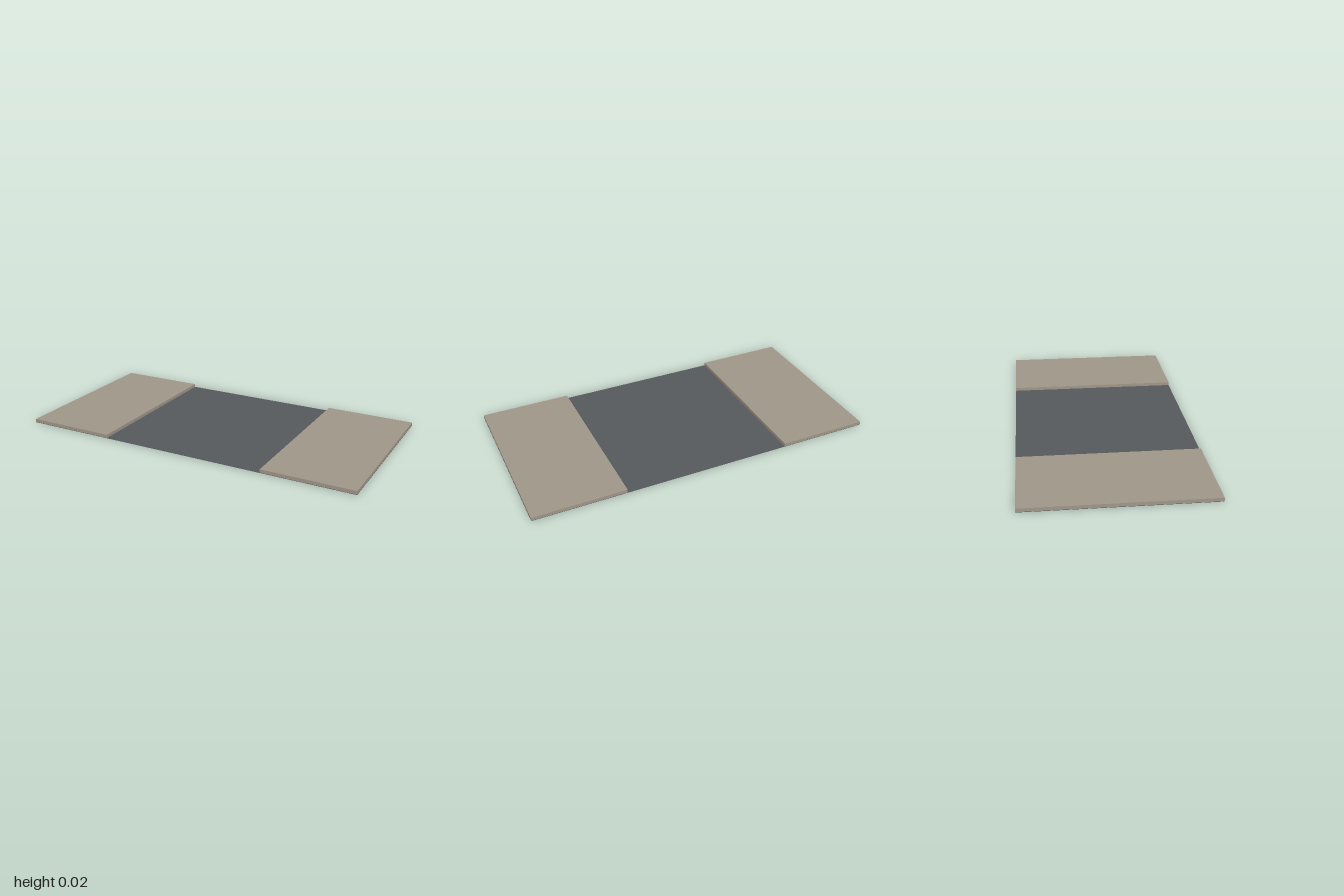
import * as THREE from 'three';

export function createModel() {
  const asphalt = new THREE.MeshStandardMaterial({ color: 0x55595c });
  asphalt.name = 'asphalt grey';
  const paving = new THREE.MeshStandardMaterial({ color: 0xa09689 });
  paving.name = 'paving beige';

  const group = new THREE.Group();
  group.name = 'roadSection';

  const slab = (name, material, x0, x1, y0, y1) => {
    const mesh = new THREE.Mesh(new THREE.BoxGeometry(x1 - x0, y1 - y0, 1), material);
    mesh.position.set((x0 + x1) / 2, (y0 + y1) / 2, 0);
    mesh.name = name;
    group.add(mesh);
  };

  // Thin road bed running under the full width
  const bed = 0.002;
  slab('roadBed', asphalt, -1, 1, 0, bed);

  // Raised pavement on each side
  slab('leftPavement', paving, 0.48, 1, bed, 0.021);
  slab('rightPavement', paving, -1, -0.48, bed, 0.021);

  return group;
}
